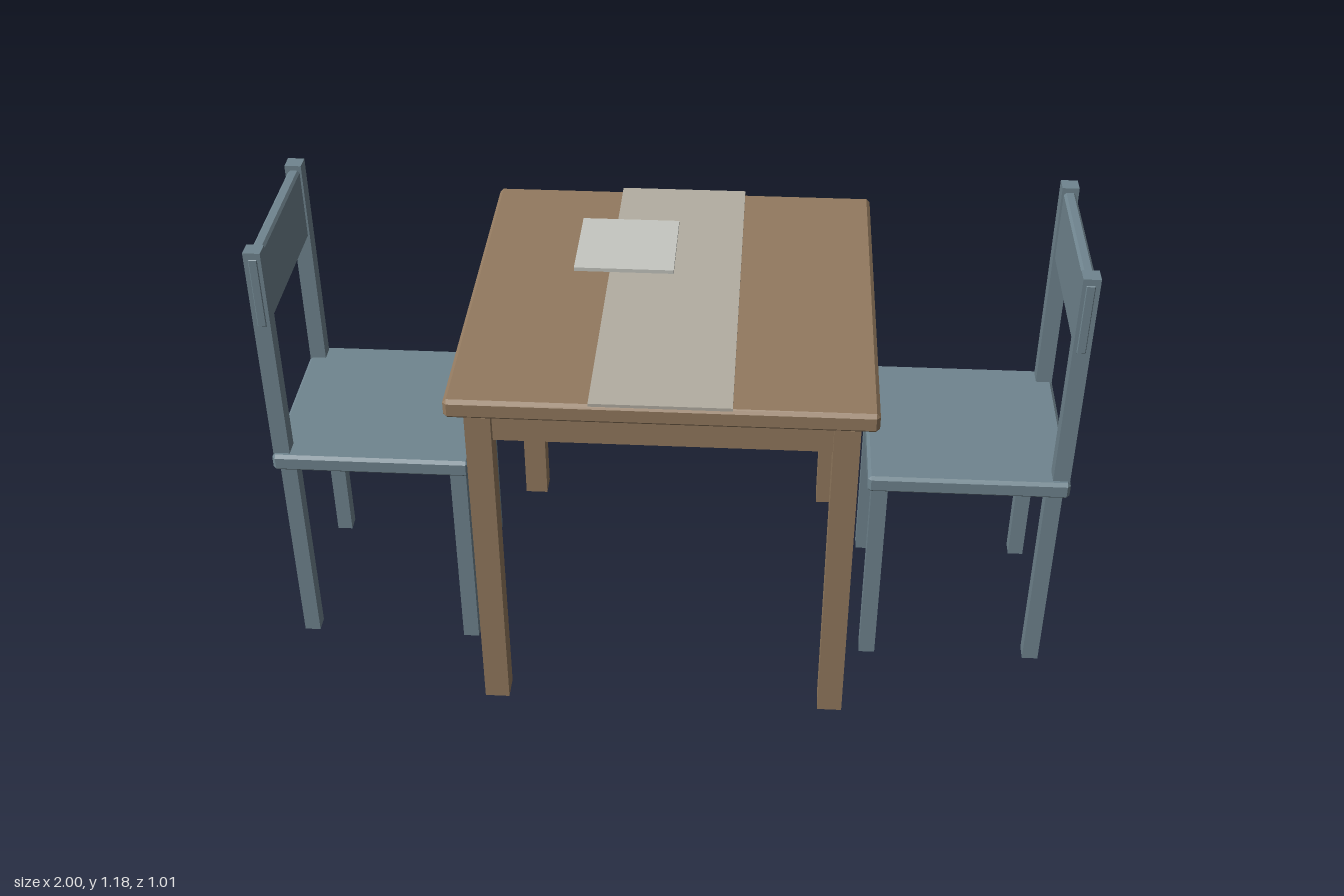
import * as THREE from 'three';
import { ConvexGeometry } from 'three/addons/geometries/ConvexGeometry.js';

const material = (color) => new THREE.MeshStandardMaterial({ color, flatShading: true });

// Box with every edge chamfered by c
function chamferBox(w, h, d, c) {
  const points = [];
  for (const sx of [-1, 1]) for (const sy of [-1, 1]) for (const sz of [-1, 1]) {
    const x = sx * w / 2, y = sy * h / 2, z = sz * d / 2;
    points.push(
      new THREE.Vector3(x, y - sy * c, z - sz * c),
      new THREE.Vector3(x - sx * c, y, z - sz * c),
      new THREE.Vector3(x - sx * c, y - sy * c, z));
  }
  return new ConvexGeometry(points);
}

// Adds a box given by its [min, max] range on each axis
function addBox(parent, name, mat, [x0, x1], [y0, y1], [z0, z1], chamfer = 0) {
  const size = [x1 - x0, y1 - y0, z1 - z0];
  const geometry = chamfer ? chamferBox(...size, chamfer) : new THREE.BoxGeometry(...size);
  const mesh = new THREE.Mesh(geometry, mat);
  mesh.name = name;
  mesh.position.set((x0 + x1) / 2, (y0 + y1) / 2, (z0 + z1) / 2);
  parent.add(mesh);
}

const span = (centre, size) => [centre - size / 2, centre + size / 2];

function createTable() {
  const table = new THREE.Group();
  table.name = 'table';
  const wood = material(0x937a5f);
  addBox(table, 'tableTop', wood, [-0.5, 0.5], [0.916, 0.966], [-0.505, 0.505], 0.009);
  addBox(table, 'apron', wood, [-0.44, 0.44], [0.813, 0.92], [-0.44, 0.44]);
  for (const sx of [-1, 1]) for (const sz of [-1, 1])
    addBox(table, 'tableLeg', wood, span(sx * 0.43, 0.062), [0, 0.89], span(sz * 0.43, 0.062));
  // Cloth runner and the flat mat lying on it
  addBox(table, 'runner', material(0xb3aea2), [-0.165, 0.165], [0.966, 0.974], [-0.506, 0.506]);
  addBox(table, 'placeMat', material(0xc6c7c1), [-0.255, -0.003], [0.974, 0.984], [-0.318, -0.068]);
  return table;
}

// Chair with its back towards +x
function createChair() {
  const chair = new THREE.Group();
  const paint = material(0x70858f);
  addBox(chair, 'seat', paint, [0.5, 1], [0.55, 0.596], [-0.252, 0.252], 0.008);
  for (const sz of [-1, 1]) {
    const z = span(sz * 0.216, 0.042);
    addBox(chair, 'frontLeg', paint, [0.511, 0.552], [0, 0.56], z);
    addBox(chair, 'rearLeg', paint, [0.944, 0.985], [0, 0.56], z);
    addBox(chair, 'backPost', paint, [0.956, 0.998], [0.58, 1.18], z);
  }
  addBox(chair, 'backPanel', paint, [0.961, 0.991], [0.972, 1.167], [-0.239, 0.239], 0.006);
  return chair;
}

export function createModel() {
  const model = new THREE.Group();
  model.name = 'diningSet';
  model.add(createTable());
  // Two chairs facing each other across the table
  for (const [name, turn] of [['leftChair', 0], ['rightChair', Math.PI]]) {
    const chair = createChair();
    chair.name = name;
    chair.rotation.y = turn;
    model.add(chair);
  }
  return model;
}
